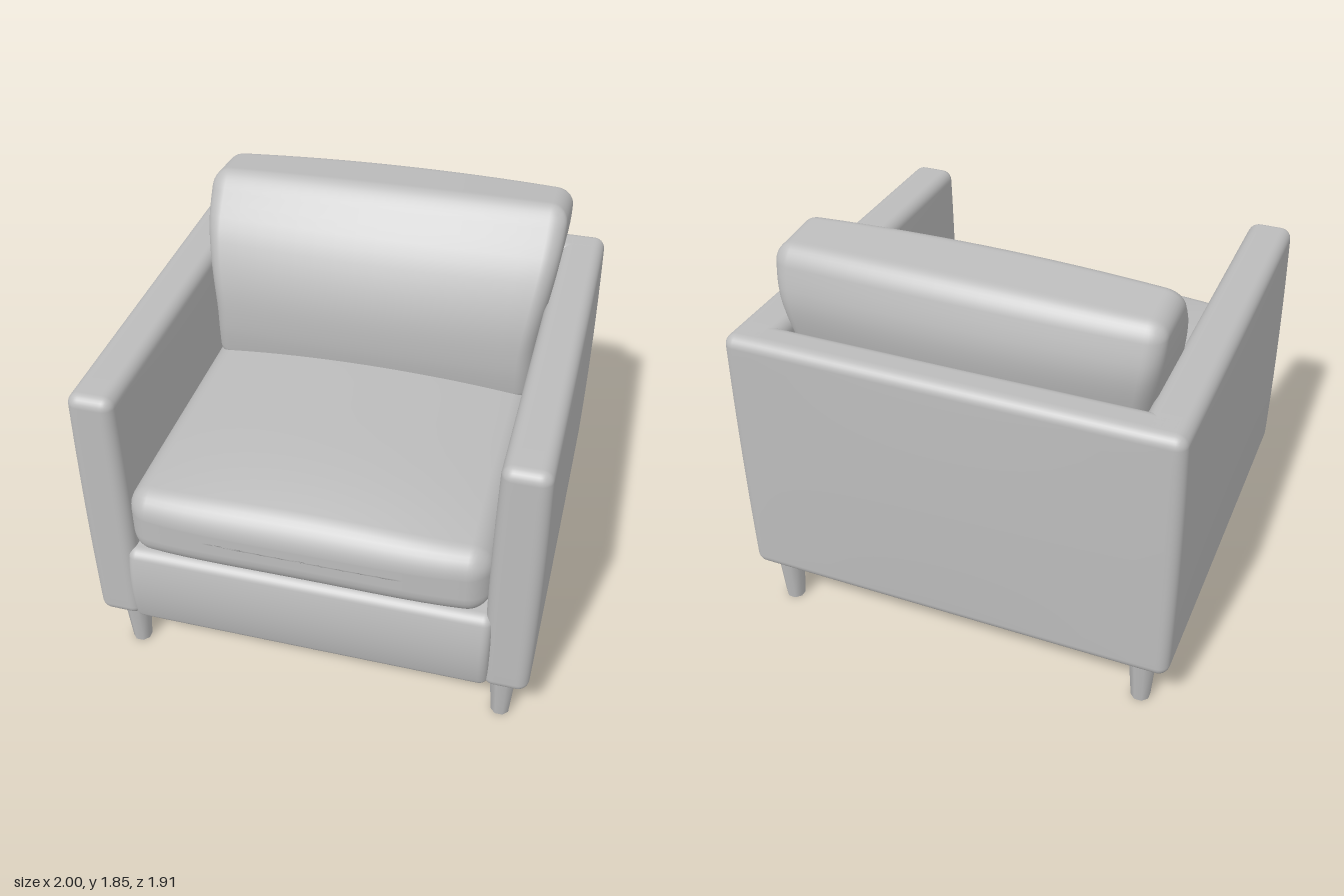
import * as THREE from 'three';
import { mergeVertices } from 'three/addons/utils/BufferGeometryUtils.js';

const grey = new THREE.MeshStandardMaterial({ color: 0xbcbcbc });
grey.name = 'greyUpholstery';

// Box with rounded edges, dense enough to be bent; warp(p, u) edits a point p, u is its place in -1..1
function softBox(name, min, max, r, warp) {
  const lo = new THREE.Vector3(...min), hi = new THREE.Vector3(...max);
  const mid = lo.clone().add(hi).multiplyScalar(0.5);
  const half = hi.clone().sub(lo).multiplyScalar(0.5);
  const n = 24, edge = 2 / 3; // the outer third of the grid forms the rounding
  let geo = new THREE.BoxGeometry(2, 2, 2, n, n, n);
  geo.deleteAttribute('uv');
  geo.deleteAttribute('normal');
  const pos = geo.attributes.position;
  const p = new THREE.Vector3(), off = new THREE.Vector3(), u = new THREE.Vector3();
  for (let i = 0; i < pos.count; i++) {
    p.fromBufferAttribute(pos, i);
    for (const a of ['x', 'y', 'z']) {
      const t = p[a], s = Math.max(0, (Math.abs(t) - edge) / (1 - edge));
      off[a] = Math.sign(t) * Math.tan(s * Math.PI / 4);
      p[a] = Math.sign(t) * Math.min(1, Math.abs(t) / edge) * (half[a] - r);
    }
    p.addScaledVector(off.normalize(), r);
    u.copy(p).divide(half);
    p.add(mid);
    if (warp) warp(p, u);
    pos.setXYZ(i, p.x, p.y, p.z);
  }
  geo = mergeVertices(geo, 1e-5);
  geo.computeVertexNormals();
  const mesh = new THREE.Mesh(geo, grey);
  mesh.name = name;
  return mesh;
}

const dome = (a, b) => (1 - a * a) * (1 - b * b);

export function createModel() {
  const chair = new THREE.Group();
  chair.name = 'armchair';

  // Padded arms and back, faces slightly swollen
  for (const s of [1, -1]) {
    const x = [s * 0.785, s * 0.985];
    chair.add(softBox(s > 0 ? 'leftArm' : 'rightArm',
      [Math.min(...x), 0.245, -0.945], [Math.max(...x), 1.472, 0.91], 0.05, (p, u) => {
        p.x += 0.015 * u.x * dome(u.y, u.z * 0.7);
      }));
  }
  chair.add(softBox('backrestFrame', [-0.985, 0.245, -0.945], [0.985, 1.472, -0.77], 0.05, (p, u) => {
    if (u.z < 0) p.z -= 0.012 * dome(u.x, u.y);
  }));

  // Base with a swollen front rail
  chair.add(softBox('baseRail', [-0.81, 0.247, -0.9], [0.81, 0.665, 0.91], 0.04, (p, u) => {
    if (u.z > 0) p.z += 0.032 * u.z * (1 - u.y * u.y);
  }));

  // Seat cushion with a crowned top and bowed front
  chair.add(softBox('seatCushion', [-0.79, 0.665, -0.76], [0.79, 0.99, 0.915], 0.1, (p, u) => {
    if (u.y > 0) p.y += 0.08 * u.y * (1 - u.x * u.x) * (1 - Math.pow(Math.abs(u.z), 4));
    else p.y += 0.02 * Math.max(0, u.z) ** 6 * (1 - u.x * u.x);
    if (u.z > 0) p.z += 0.04 * u.z * (1 - Math.pow(u.x, 4));
  }));

  // Leaning back cushion: front and rear depth follow two curves up its height
  const curve = (...zs) => new THREE.SplineCurve(zs.map((z, i) => new THREE.Vector2(i, z)));
  const front = curve(-0.2, -0.18, -0.2, -0.29, -0.45);
  const rear = curve(-0.6, -0.67, -0.74, -0.78, -0.74);
  chair.add(softBox('backCushion', [-0.8, 0.94, -0.2], [0.8, 1.82, 0.2], 0.075, (p, u) => {
    const t = THREE.MathUtils.clamp((u.y + 1) / 2, 0, 1);
    const puff = dome(u.x, u.y * 0.6);
    p.z = THREE.MathUtils.lerp(rear.getPoint(t).y, front.getPoint(t).y, (u.z + 1) / 2);
    p.z += 0.04 * u.z * puff;
    p.x *= 0.955 + 0.08 * THREE.MathUtils.smoothstep(t, 0.25, 0.9);
    if (u.y > 0) p.y += u.y * u.y * (0.018 * (1 - u.x * u.x) + 0.012 * u.x + 0.015 * u.z);
  }));

  // Tapered legs
  const legGeo = new THREE.CylinderGeometry(0.064, 0.043, 0.27, 8);
  legGeo.rotateY(Math.PI / 8);
  for (const x of [-0.852, 0.868]) {
    for (const z of [-0.83, 0.798]) {
      const leg = new THREE.Mesh(legGeo, grey);
      leg.name = (z > 0 ? 'front' : 'back') + (x > 0 ? 'Left' : 'Right') + 'Leg';
      leg.position.set(x, 0.135, z);
      chair.add(leg);
    }
  }
  return chair;
}
